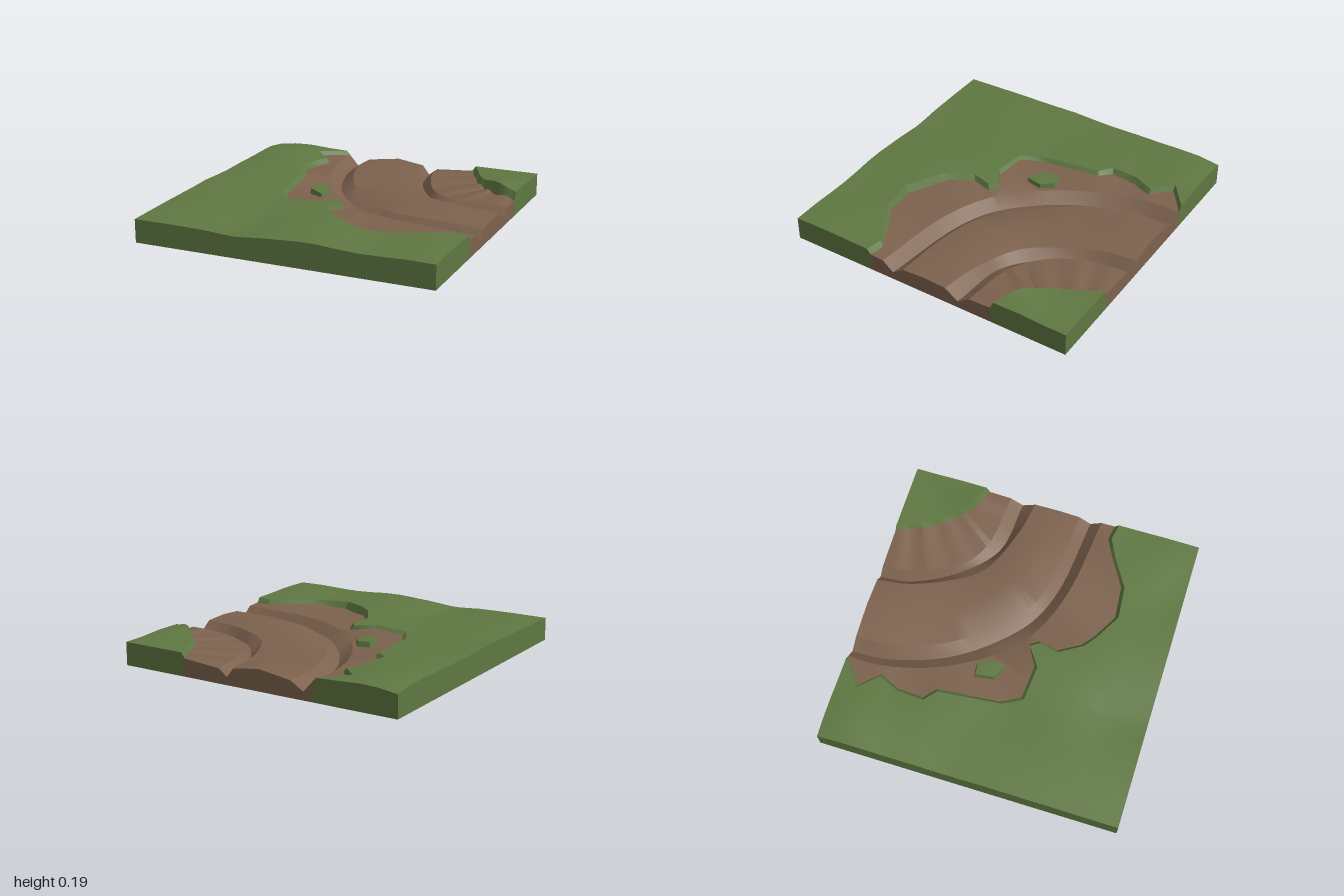
import * as THREE from 'three';
import { toCreasedNormals } from 'three/addons/utils/BufferGeometryUtils.js';

const grass = new THREE.MeshStandardMaterial({ color: 0x5f7842, side: THREE.DoubleSide });
const dirt = new THREE.MeshStandardMaterial({ color: 0x7d624e, side: THREE.DoubleSide });
const V = (x, y, z) => new THREE.Vector3(x, y, z);

// Skin a surface over rows of equally many points
function loft(name, rows, material, crease = 0.45) {
  const n = rows[0].length, index = [];
  for (let r = 0; r < rows.length - 1; r++) {
    for (let c = 0; c < n - 1; c++) {
      const a = r * n + c, d = a + n;
      index.push(a, a + 1, d, a + 1, d + 1, d);
    }
  }
  const g = new THREE.BufferGeometry().setFromPoints(rows.flat());
  g.setIndex(index);
  const mesh = new THREE.Mesh(toCreasedNormals(g, crease), material);
  mesh.name = name;
  return mesh;
}

// Vertical side of the tile below a path
const skirt = (name, path, material) =>
  loft(name, [path.map(p => V(p.x, 0, p.z)), path], material);

// Split every segment of a list of [x, z] in two
const refine = pts => pts.flatMap((p, i) => i === pts.length - 1 ? [p]
  : [p, [(p[0] + pts[i + 1][0]) / 2, (p[1] + pts[i + 1][1]) / 2]]);

// Rolling meadow: hills and hollows as [x, z, radius, height]
const hills = [
  [-0.82, -0.82, 0.22, 0.035], [-0.8, -0.4, 0.25, 0.022], [-1, 0.1, 0.2, 0.015],
  [-0.75, 0.5, 0.3, 0.022], [-0.35, 0.75, 0.17, -0.025], [-0.3, 0.95, 0.15, -0.015],
  [0.1, 0.6, 0.35, 0.025], [0.2, 1, 0.15, 0.01], [0.85, 0.8, 0.2, 0.015],
  [-0.45, 0.12, 0.16, -0.012], [0.55, 0.85, 0.15, -0.012],
  [0.86, -0.6, 0.13, 0.04], [-1, -1, 0.12, -0.015],
];
const meadow = (x, z) => hills.reduce((h, [a, b, r, k]) =>
  h + k * Math.exp(-((x - a) ** 2 + (z - b) ** 2) / (r * r)), 0.154);
const onMeadow = ([x, z]) => V(x, meadow(x, z), z);

// Outer bank of the track, each point paired with one on the tile border
const bank = refine([
  [-0.45, -1], [-0.62, -0.87], [-0.5, -0.75], [-0.56, -0.61], [-0.57, -0.43],
  [-0.49, -0.36], [-0.46, -0.1], [-0.44, 0.06], [-0.37, 0.19], [-0.14, 0.21],
  [-0.01, 0.12], [0.03, 0.18], [0, 0.31], [0.09, 0.46], [0.17, 0.52],
  [0.35, 0.62], [0.57, 0.6], [0.75, 0.49], [0.89, 0.42], [1, 0.44]]);
const border = refine([
  [-0.45, -1], [-0.75, -1], [-1, -1], [-1, -0.7], [-1, -0.45],
  [-1, -0.3], [-1, -0.05], [-1, 0.3], [-1, 1], [-0.5, 1],
  [-0.33, 1], [-0.27, 1], [-0.2, 1], [0, 1], [0.15, 1],
  [0.38, 1], [0.65, 1], [1, 1], [1, 0.75], [1, 0.44]]);

// Share of the bank's length at each column
const along = [0];
for (let i = 1; i < bank.length; i++) {
  along.push(along[i - 1] + Math.hypot(bank[i][0] - bank[i - 1][0], bank[i][1] - bank[i - 1][1]));
}
const u = along.map(a => a / along[along.length - 1]);

// A line that follows the track, at one height with a slight roll
function trackLine(y, pts, roll = 0.006) {
  const curve = new THREE.CatmullRomCurve3(pts.map(([x, z]) => V(x, y, z)), false, 'centripetal');
  return u.map(t => {
    const p = curve.getPointAt(t);
    p.y += roll * Math.sin(9 * t + 60 * y);
    return p;
  });
}

// Foot of a bank: a short step from its lip towards the track
const footOf = (lip, target, y) => lip.map((p, i) => {
  const d = V(target[i].x - p.x, 0, target[i].z - p.z).setLength(0.025);
  return V(p.x + d.x, y + 0.008 * Math.sin(i * 0.8), p.z + d.z);
});

export function createModel() {
  const model = new THREE.Group();
  model.name = 'terrainTile';

  // Two curved wheel ruts, each with lip, bottom and inner edge
  const outerRut = [
    trackLine(0.117, [[-0.42, -1], [-0.42, -0.8], [-0.36, -0.53], [-0.26, -0.3], [-0.07, -0.03], [0.14, 0.14], [0.44, 0.25], [1, 0.32]]),
    trackLine(0.055, [[-0.36, -1], [-0.35, -0.8], [-0.29, -0.57], [-0.19, -0.34], [0, -0.09], [0.2, 0.08], [0.46, 0.18], [1, 0.245]]),
    trackLine(0.108, [[-0.27, -1], [-0.27, -0.8], [-0.21, -0.58], [-0.11, -0.37], [0.085, -0.14], [0.31, 0.06], [0.65, 0.14], [1, 0.165]]),
  ];
  const crown = trackLine(0.13, [[-0.04, -1], [-0.02, -0.8], [0.06, -0.55], [0.2, -0.3], [0.45, -0.1], [0.7, -0.03], [1, 0.01]], 0.012);
  const innerRut = [
    trackLine(0.112, [[0.15, -1], [0.18, -0.8], [0.28, -0.56], [0.43, -0.34], [0.75, -0.2], [1, -0.15]]),
    trackLine(0.05, [[0.2, -1], [0.23, -0.8], [0.38, -0.51], [0.62, -0.29], [1, -0.24]]),
    trackLine(0.1, [[0.26, -1], [0.29, -0.8], [0.43, -0.5], [0.63, -0.37], [1, -0.325]]),
  ];

  // Grass banks on both sides of the track
  const outerLip = bank.map(onMeadow);
  const innerLip = trackLine(0, [[0.55, -1], [0.7, -0.72], [0.84, -0.58], [1, -0.5]]).map(p => onMeadow([p.x, p.z]));
  const outerFoot = footOf(outerLip, outerRut[0], 0.128);
  const innerFoot = footOf(innerLip, innerRut[2], 0.118);

  // Large meadow, from the tile border down to the foot of the bank
  const meadowRows = [0, 0.2, 0.4, 0.6, 0.8, 1].map(f => bank.map(([x, z], i) =>
    onMeadow([border[i][0] + (x - border[i][0]) * f, border[i][1] + (z - border[i][1]) * f])));
  model.add(loft('meadow', [...meadowRows, outerFoot], grass));

  // Dirt track
  const track = [outerFoot, ...outerRut, crown, ...innerRut, innerFoot];
  model.add(loft('dirtTrack', track, dirt));

  // Grass corner on the inside of the bend
  const cornerRows = [0, 0.35, 0.7, 1].map(f => innerLip.map(p =>
    onMeadow([p.x + (1 - p.x) * f, p.z + (-1 - p.z) * f])));
  model.add(loft('grassCorner', [innerFoot, ...cornerRows], grass));

  // Sides of the tile, open underneath
  const last = u.length - 1;
  const column = (rows, i) => rows.map(r => r[i]);
  model.add(skirt('meadowSide', [outerFoot[0], ...meadowRows[0], outerFoot[last]], grass));
  model.add(skirt('trackSideLeft', column(track, last), dirt));
  model.add(skirt('trackSideBack', column(track, 0).reverse(), dirt));
  model.add(skirt('cornerSide', [innerFoot[last], ...column(cornerRows, last),
    ...column(cornerRows, 0).reverse(), innerFoot[0]], grass));

  // Grass tuft island on the dirt
  const rim = [[-0.31, -0.17], [-0.29, -0.04], [-0.18, 0.015], [-0.16, -0.1], [-0.22, -0.18], [-0.31, -0.17]];
  const ring = (y, s) => rim.map(([x, z]) => V(-0.235 + (x + 0.235) * s, y - 0.08 * (x + 0.235) * s, -0.09 + (z + 0.09) * s));
  model.add(loft('grassIsland', [ring(0.11, 1), ring(0.148, 0.9), ring(0.153, 0)], grass));

  return model;
}
